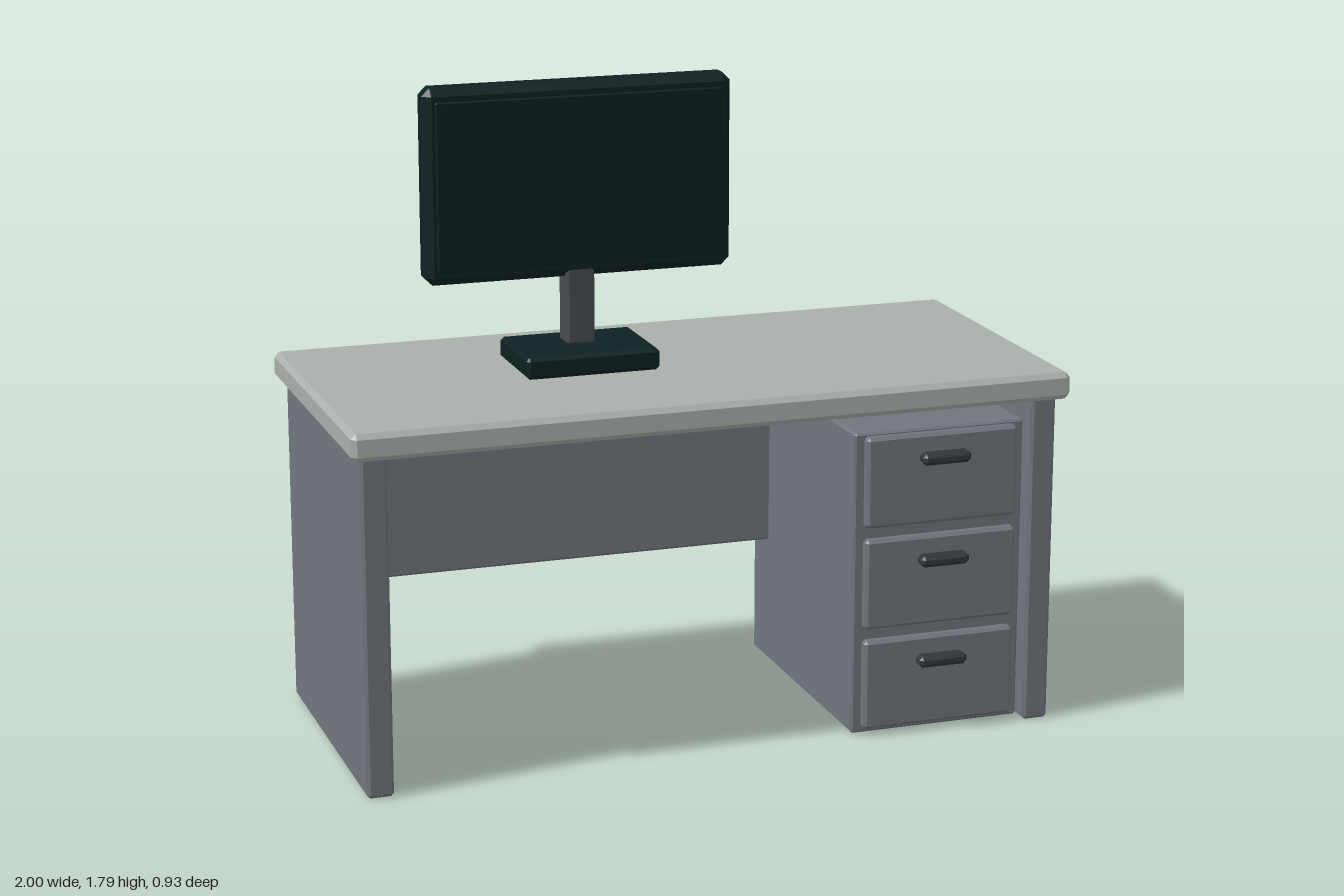
import * as THREE from 'three';
import { ConvexGeometry } from 'three/addons/geometries/ConvexGeometry.js';

const material = (name, color) => {
  const m = new THREE.MeshStandardMaterial({ color });
  m.name = name;
  return m;
};

// Box given by its limits, with every edge and corner chamfered by c
function chamferBox(name, mat, [x0, x1], [y0, y1], [z0, z1], c) {
  const half = [(x1 - x0) / 2, (y1 - y0) / 2, (z1 - z0) / 2];
  const points = [];
  for (const sx of [-1, 1]) for (const sy of [-1, 1]) for (const sz of [-1, 1]) {
    // each corner becomes three points, one on each neighbouring face
    for (let face = 0; face < 3; face++) {
      const [x, y, z] = half.map((h, axis) => (axis === face ? h : h - c));
      points.push(new THREE.Vector3(sx * x, sy * y, sz * z));
    }
  }
  const mesh = new THREE.Mesh(new ConvexGeometry(points), mat);
  mesh.name = name;
  mesh.position.set((x0 + x1) / 2, (y0 + y1) / 2, (z0 + z1) / 2);
  return mesh;
}

export function createModel() {
  const top = material('pale grey top', 0xa9afab);
  const body = material('slate grey', 0x6f767c);
  const handle = material('dark grey handle', 0x30373a);
  const metal = material('stand grey', 0x454c50);
  const dark = material('dark green black', 0x0d2122);
  const glass = material('screen black', 0x0b1f20);

  const model = new THREE.Group();
  model.name = 'deskWithMonitor';

  // Desk: top, side panels and back panel
  const desk = new THREE.Group();
  desk.name = 'desk';
  desk.add(chamferBox('deskTop', top, [-1, 1], [0.925, 1], [-0.465, 0.465], 0.014));
  desk.add(chamferBox('leftSidePanel', body, [0.9, 0.972], [0, 0.93], [-0.43, 0.43], 0.008));
  desk.add(chamferBox('rightSidePanel', body, [-0.972, -0.9], [0, 0.93], [-0.43, 0.43], 0.008));
  desk.add(chamferBox('backPanel', body, [-0.905, 0.905], [0.37, 0.86], [-0.325, -0.27], 0.006));

  // Drawer pedestal with three fronts and pulls
  const pedestal = new THREE.Group();
  pedestal.name = 'drawerPedestal';
  pedestal.add(chamferBox('cabinet', body, [0.4, 0.894], [0.005, 0.86], [-0.39, 0.39], 0.006));
  for (let i = 0; i < 3; i++) {
    const y = 0.02 + i * 0.288;
    pedestal.add(chamferBox('drawerFront', body, [0.428, 0.868], [y, y + 0.255], [0.38, 0.415], 0.009));
    pedestal.add(chamferBox('drawerPull', handle, [0.577, 0.717], [y + 0.174, y + 0.206], [0.41, 0.455], 0.01));
  }
  desk.add(pedestal);
  model.add(desk);

  // Monitor on its stand
  const monitor = new THREE.Group();
  monitor.name = 'monitor';
  monitor.add(chamferBox('standBase', dark, [-0.44, -0.065], [1.015, 1.075], [-0.135, 0.135], 0.01));
  monitor.add(chamferBox('standPost', metal, [-0.29, -0.21], [1.07, 1.3], [-0.065, 0.01], 0.008));
  monitor.add(chamferBox('casing', dark, [-0.68, 0.18], [1.26, 1.793], [-0.07, 0.012], 0.022));
  monitor.add(chamferBox('screen', glass, [-0.65, 0.15], [1.298, 1.757], [0.011, 0.02], 0.004));
  model.add(monitor);

  return model;
}
